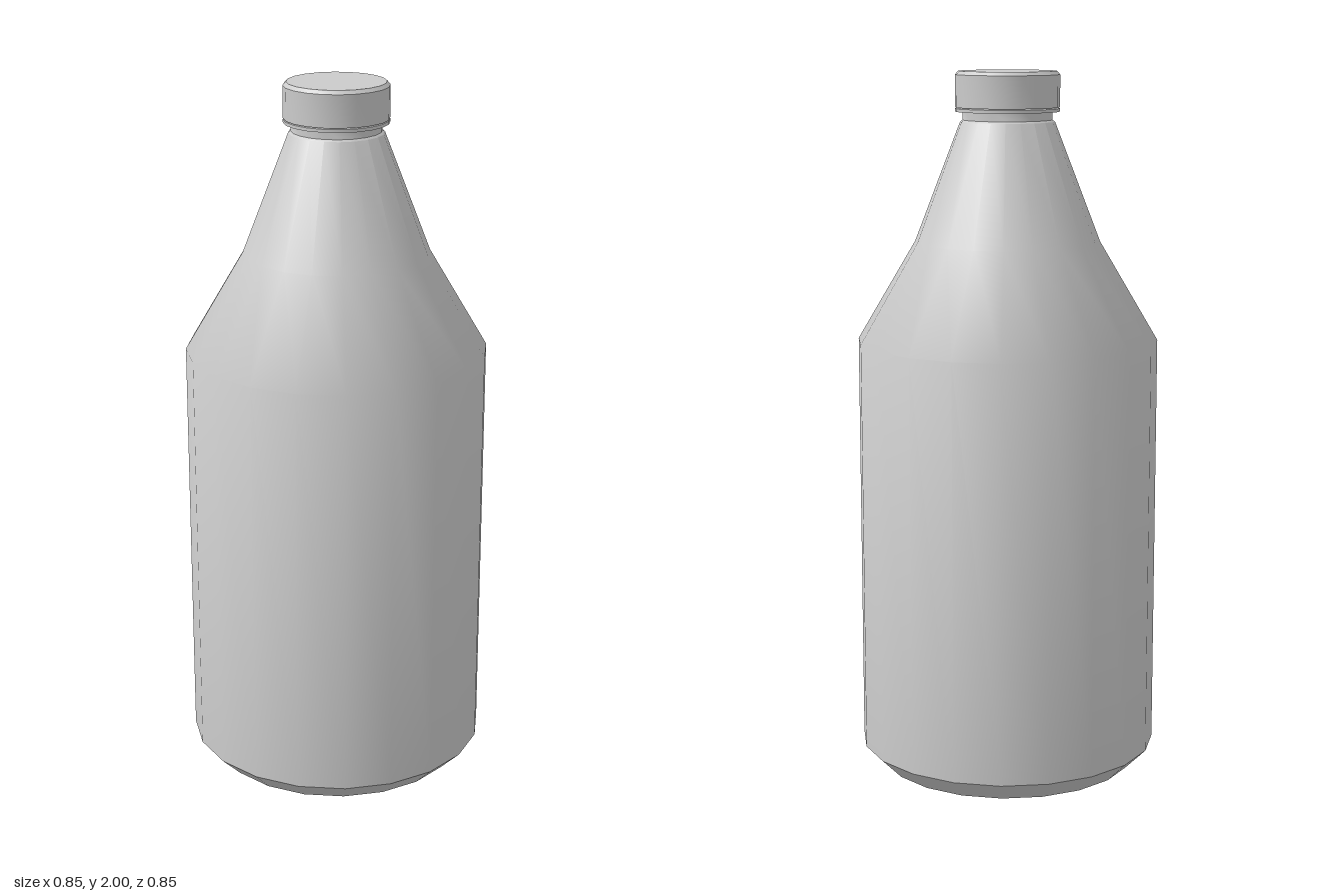
import * as THREE from 'three';
import { toCreasedNormals } from 'three/addons/utils/BufferGeometryUtils.js';

const SIDES = 20;

// Turned part from [radius, height] pairs, listed from bottom to top
function turned(name, profile) {
  const points = profile.map(([r, y]) => new THREE.Vector2(r, y));
  const geometry = toCreasedNormals(new THREE.LatheGeometry(points, SIDES), 0.62);
  const mesh = new THREE.Mesh(geometry, new THREE.MeshStandardMaterial({ color: 0xcccccc }));
  mesh.name = name;
  return mesh;
}

export function createModel() {
  const group = new THREE.Group();
  group.name = 'bottle';

  // Body with chamfered base, two-step shoulder and short neck
  group.add(turned('body', [
    [0, 0], [0.367, 0], [0.427, 0.06], [0.427, 1.245],
    [0.262, 1.525], [0.133, 1.86], [0.126, 1.865], [0.126, 1.9], [0, 1.9],
  ]));

  // Thin tamper ring just under the cap
  group.add(turned('capRing', [
    [0.12, 1.888], [0.147, 1.888], [0.147, 1.897], [0.138, 1.9], [0.12, 1.9],
  ]));

  // Screw cap with a bevelled top edge
  group.add(turned('cap', [
    [0, 1.9], [0.147, 1.9], [0.147, 1.99], [0.138, 2], [0, 2],
  ]));

  return group;
}
